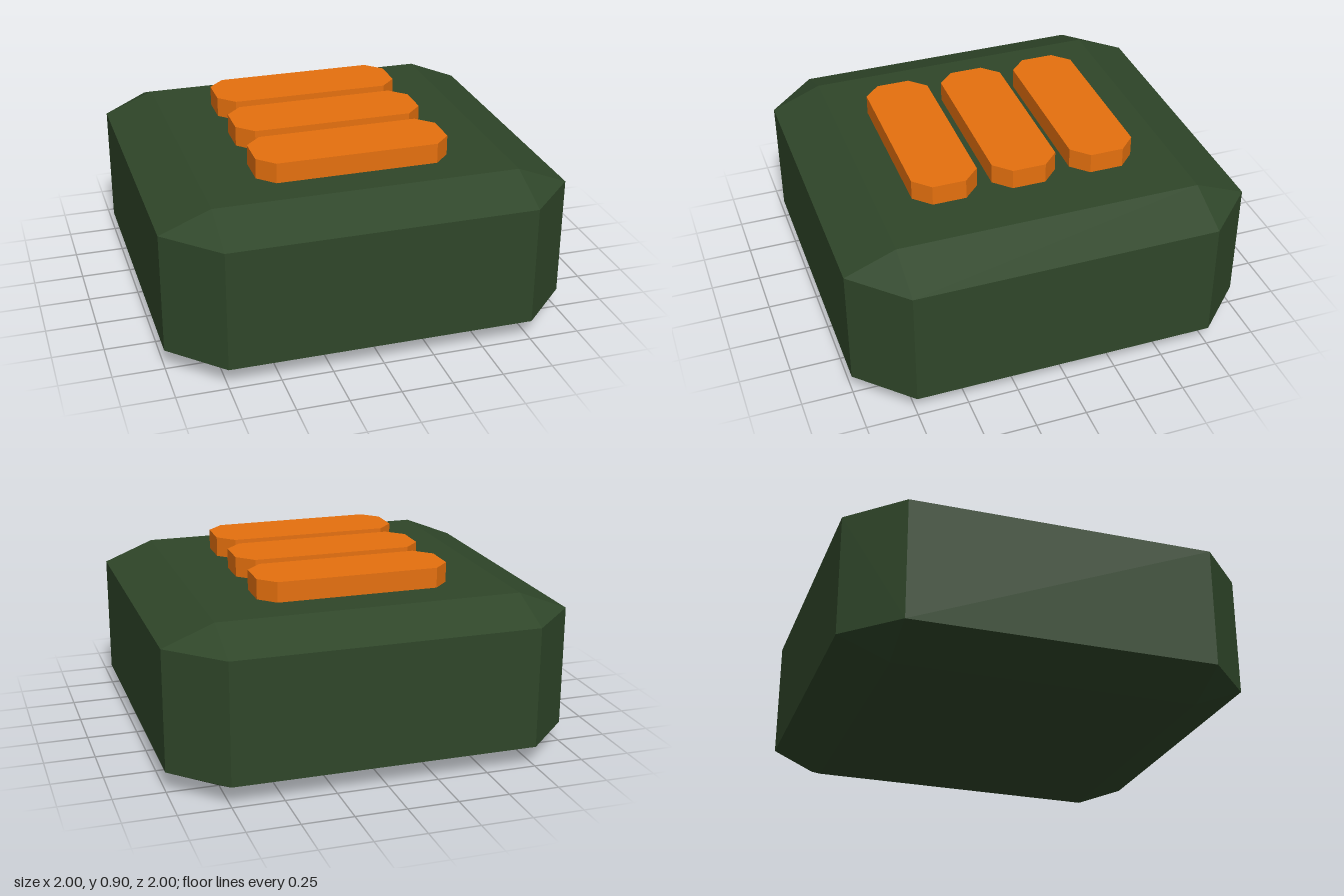
import * as THREE from 'three';
import { ConvexGeometry } from 'three/addons/geometries/ConvexGeometry.js';

const green = new THREE.MeshStandardMaterial({ color: 0x2f4629, flatShading: true });
const orange = new THREE.MeshStandardMaterial({ color: 0xe5700e, flatShading: true });

// Box with every edge bevelled
function bevelledBody(outer, inner, height, bevel) {
  const points = [];
  for (const sx of [-1, 1]) for (const sz of [-1, 1]) {
    for (const y of [0, height]) points.push(new THREE.Vector3(sx * inner, y, sz * inner));
    for (const y of [bevel, height - bevel]) {
      points.push(new THREE.Vector3(sx * outer, y, sz * inner));
      points.push(new THREE.Vector3(sx * inner, y, sz * outer));
    }
  }
  return new ConvexGeometry(points);
}

// Flat bar with its four upright corners cut off
function cutCornerBar(halfX, halfZ, cut, height) {
  const x = halfX - cut, z = halfZ - cut;
  const outline = [
    [halfX, -z], [halfX, z], [x, halfZ], [-x, halfZ],
    [-halfX, z], [-halfX, -z], [-x, -halfZ], [x, -halfZ],
  ].map(([a, b]) => new THREE.Vector2(a, b));
  const geometry = new THREE.ExtrudeGeometry(new THREE.Shape(outline), { depth: height, bevelEnabled: false });
  return geometry.rotateX(-Math.PI / 2);
}

export function createModel() {
  const model = new THREE.Group();
  model.name = 'bevelledBlockWithBars';

  const body = new THREE.Mesh(bevelledBody(1, 0.75, 0.8, 0.1), green);
  body.name = 'body';
  model.add(body);

  // Three raised bars on top, front to back
  const barGeometry = cutCornerBar(0.48, 0.163, 0.08, 0.1);
  [0.41, 0.01, -0.39].forEach((z, i) => {
    const bar = new THREE.Mesh(barGeometry, orange);
    bar.name = ['frontBar', 'middleBar', 'backBar'][i];
    bar.position.set(0, 0.8, z);
    model.add(bar);
  });

  return model;
}
